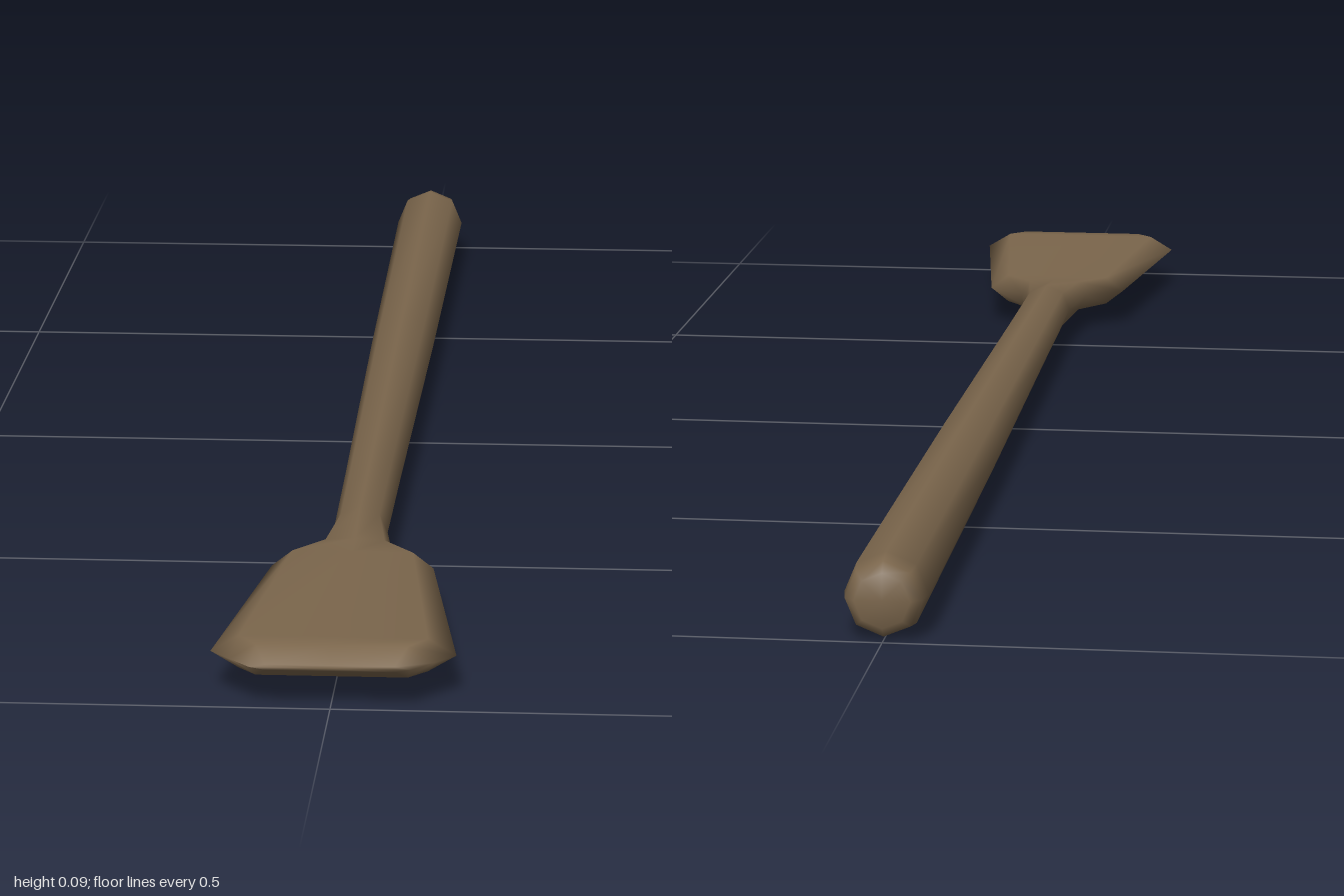
import * as THREE from 'three';

const SIDES = 8;
const CENTRE_Y = 0.045;

// Cross-sections along z: [z, edge half-width, flat half-width, flat half-height, mid half-height]
const round = (z, r) => [z, r, r * Math.SQRT1_2, r * Math.SQRT1_2, r];
const handleSections = [
  round(-1, 0.03),
  round(-0.99, 0.041),
  round(-0.965, 0.045),
  round(-0.3, 0.04),
  round(0.3, 0.033),
  round(0.52, 0.031),
];
const bladeSections = [
  [0.61, 0.043, 0.033, 0.019, 0.021],
  [0.65, 0.09, 0.067, 0.018, 0.018],
  [0.95, 0.13, 0.1, 0.018, 0.018],
  [0.975, 0.108, 0.08, 0.017, 0.017],
  [1, 0.085, 0.068, 0.003, 0.003],
];

// One ring of eight points, counter-clockwise seen from +z
function ring([z, w, f, h, t]) {
  return [[w, 0], [f, h], [0, t], [-f, h], [-w, 0], [-f, -h], [0, -t], [f, -h]]
    .flatMap(([x, y]) => [x, CENTRE_Y + y, z]);
}

export function createModel() {
  const wood = new THREE.MeshStandardMaterial({ color: 0x7b664c });
  wood.name = 'brown wood';

  // Shared vertices keep the shading smooth where handle and blade meet
  const sections = [...handleSections, ...bladeSections];
  const positions = sections.flatMap(ring);
  const buttCentre = positions.length / 3;
  positions.push(0, CENTRE_Y, -1, 0, CENTRE_Y, 1);
  const tipCentre = buttCentre + 1;

  // Skin between consecutive rings
  const skin = (from, to) => {
    const index = [];
    for (let s = from; s < to; s++) {
      for (let j = 0; j < SIDES; j++) {
        const k = (j + 1) % SIDES;
        const a = s * SIDES + j, b = s * SIDES + k;
        index.push(a, b, b + SIDES, a, b + SIDES, a + SIDES);
      }
    }
    return index;
  };
  const last = sections.length - 1;
  const neck = handleSections.length - 1;
  const handleIndex = skin(0, neck);
  const bladeIndex = skin(neck, last);

  // Close the butt and the blade tip
  for (let j = 0; j < SIDES; j++) {
    const k = (j + 1) % SIDES;
    handleIndex.push(buttCentre, k, j);
    bladeIndex.push(tipCentre, last * SIDES + j, last * SIDES + k);
  }

  const whole = new THREE.BufferGeometry();
  whole.setAttribute('position', new THREE.Float32BufferAttribute(positions, 3));
  whole.setIndex([...handleIndex, ...bladeIndex]);
  whole.computeVertexNormals();

  const oar = new THREE.Group();
  oar.name = 'oar';
  for (const [name, index] of [['handle', handleIndex], ['blade', bladeIndex]]) {
    const mesh = new THREE.Mesh(whole.clone().setIndex(index), wood);
    mesh.name = name;
    oar.add(mesh);
  }
  return oar;
}
